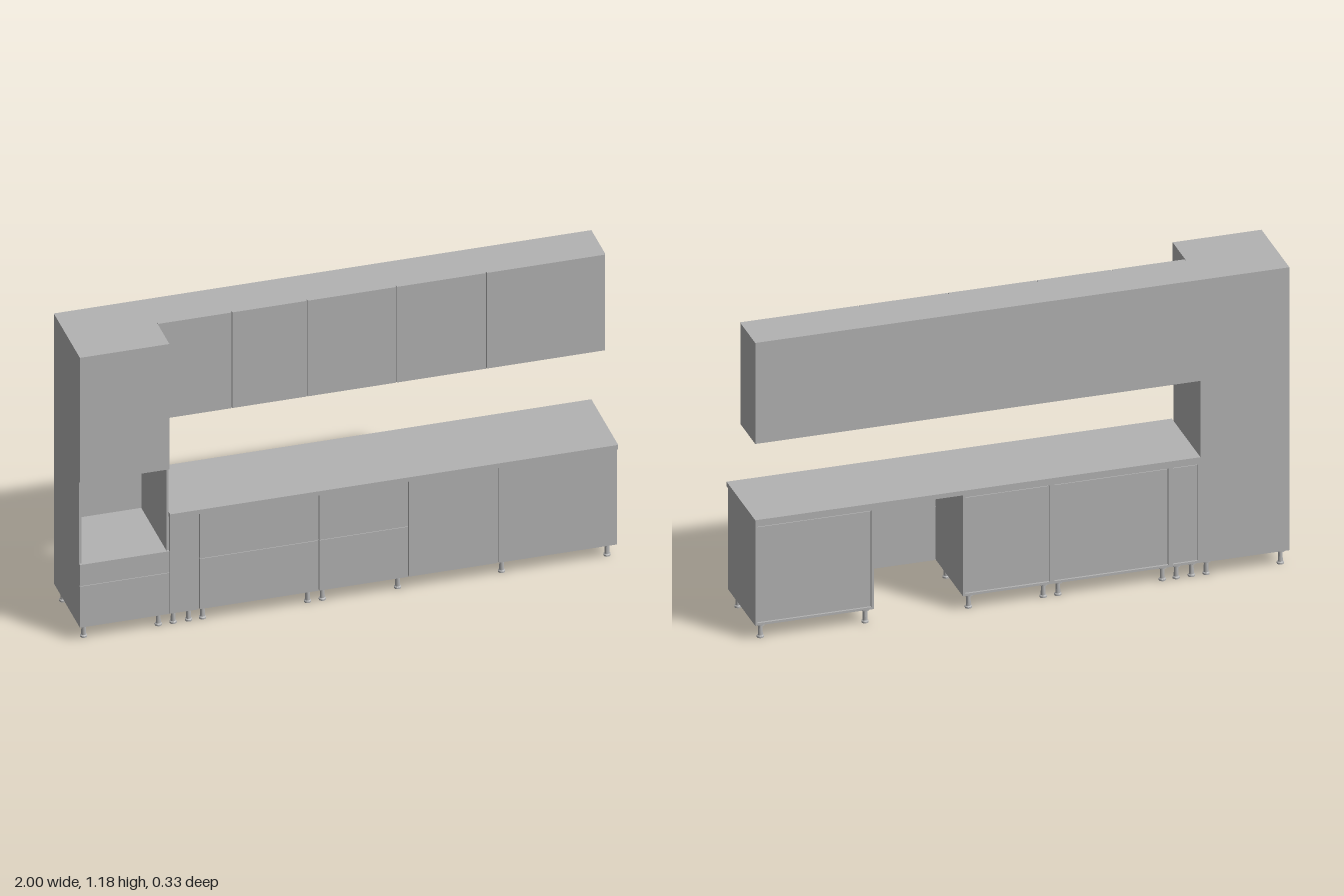
import * as THREE from 'three';

const grey = new THREE.MeshStandardMaterial({ color: 0xb3b3b3 });
grey.name = 'plain grey';

const T = 0.009;                       // board thickness
const BACK = -0.165, CARCASS = 0.148, FRONT = 0.157;
const FLOOR = 0.06, BASE_TOP = 0.46, TOP = 1.18, WALL_BOTTOM = 0.78;
const GAP = 0.002;

// Box given by its limits on each axis
function board(parent, name, x0, x1, y0, y1, z0, z1) {
  const mesh = new THREE.Mesh(new THREE.BoxGeometry(x1 - x0, y1 - y0, z1 - z0), grey);
  mesh.position.set((x0 + x1) / 2, (y0 + y1) / 2, (z0 + z1) / 2);
  mesh.name = name;
  parent.add(mesh);
  return mesh;
}

// Door or drawer front with a narrow reveal at each side
function front(parent, name, x0, x1, y0, y1, z1) {
  return board(parent, name, x0 + GAP, x1 - GAP, y0, y1, z1 - T, z1);
}

function section(root, name) {
  const g = new THREE.Group();
  g.name = name;
  root.add(g);
  return g;
}

// Floor cabinet: frame of boards with a recessed back panel
function baseCabinet(root, x0, x1, splits) {
  const g = section(root, 'baseCabinet');
  board(g, 'sidePanel', x0, x0 + T, FLOOR, BASE_TOP, BACK, CARCASS);
  board(g, 'sidePanel', x1 - T, x1, FLOOR, BASE_TOP, BACK, CARCASS);
  board(g, 'bottomPanel', x0 + T, x1 - T, FLOOR, FLOOR + T, BACK, CARCASS);
  board(g, 'backRail', x0 + T, x1 - T, BASE_TOP - T, BASE_TOP, BACK, BACK + 0.05);
  board(g, 'frontRail', x0 + T, x1 - T, BASE_TOP - T, BASE_TOP, CARCASS - 0.05, CARCASS);
  board(g, 'backPanel', x0 + T, x1 - T, FLOOR + T, BASE_TOP - T - 0.006, BACK + 0.008, BACK + 0.012);
  const levels = [FLOOR, ...splits, BASE_TOP - 0.002];
  for (let i = 0; i < levels.length - 1; i++) {
    const last = i === levels.length - 2;
    front(g, splits.length ? 'drawerFront' : 'door', x0, x1, levels[i], levels[i + 1] - (last ? 0 : 0.002), FRONT);
  }
}

// Adjustable foot turned from a profile
const footGeometry = new THREE.LatheGeometry([
  [0, 0], [0.013, 0], [0.013, 0.006], [0.009, 0.009], [0.008, 0.046],
  [0.016, 0.049], [0.016, 0.06], [0, 0.06],
].map(([r, y]) => new THREE.Vector2(r, y)), 16).toNonIndexed();
footGeometry.computeVertexNormals();

export function createModel() {
  const root = new THREE.Group();
  root.name = 'kitchenUnits';

  // Tall cabinet with an open appliance niche
  const tall = section(root, 'tallCabinet');
  const xl = -1, xr = -0.667, nicheLow = 0.32, nicheHigh = 0.66;
  board(tall, 'sidePanel', xl, xl + T, FLOOR, TOP, BACK, CARCASS);
  board(tall, 'sidePanel', xr - T, xr, FLOOR, TOP, BACK, CARCASS);
  board(tall, 'backPanel', xl + T, xr - T, FLOOR, TOP, BACK, BACK + 0.005);
  for (const y of [FLOOR, nicheLow - T, nicheHigh, TOP - T]) {
    board(tall, 'shelf', xl + T, xr - T, y, y + T, BACK + 0.005, CARCASS);
  }
  front(tall, 'upperDoor', xl - GAP, xr + GAP, nicheHigh, TOP, FRONT);
  front(tall, 'upperDrawer', xl - GAP, xr + GAP, 0.232, nicheLow, FRONT);
  front(tall, 'lowerDrawer', xl - GAP, xr + GAP, FLOOR, 0.23, FRONT);

  // Floor cabinets, with an open bay behind one loose front
  baseCabinet(root, -0.667, -0.556, []);
  baseCabinet(root, -0.556, -0.111, [0.27]);
  baseCabinet(root, -0.111, 0.222, [0.27]);
  baseCabinet(root, 0.556, 1, []);
  front(root, 'applianceFront', 0.222, 0.556, FLOOR, BASE_TOP - 0.002, FRONT);
  board(root, 'worktop', -0.667, 1, BASE_TOP, 0.478, BACK, 0.166);

  // Wall cabinets
  const wall = section(root, 'wallCabinets');
  board(wall, 'wallCarcass', -0.667, 1, WALL_BOTTOM, TOP, BACK, 0.003);
  const edges = [-0.667, -0.391, -0.111, 0.222, 0.556, 1];
  for (let i = 0; i < edges.length - 1; i++) {
    front(wall, 'wallDoor', edges[i], edges[i + 1], WALL_BOTTOM + 0.003, TOP, 0.012);
  }

  // Feet in a front and a back row
  const feet = section(root, 'feet');
  for (const x of [-0.975, -0.697, -0.642, -0.585, -0.533, -0.142, -0.087, 0.193, 0.58, 0.972]) {
    for (const z of [0.12, -0.137]) {
      const foot = new THREE.Mesh(footGeometry, grey);
      foot.name = 'foot';
      foot.position.set(x, 0, z);
      feet.add(foot);
    }
  }
  return root;
}
